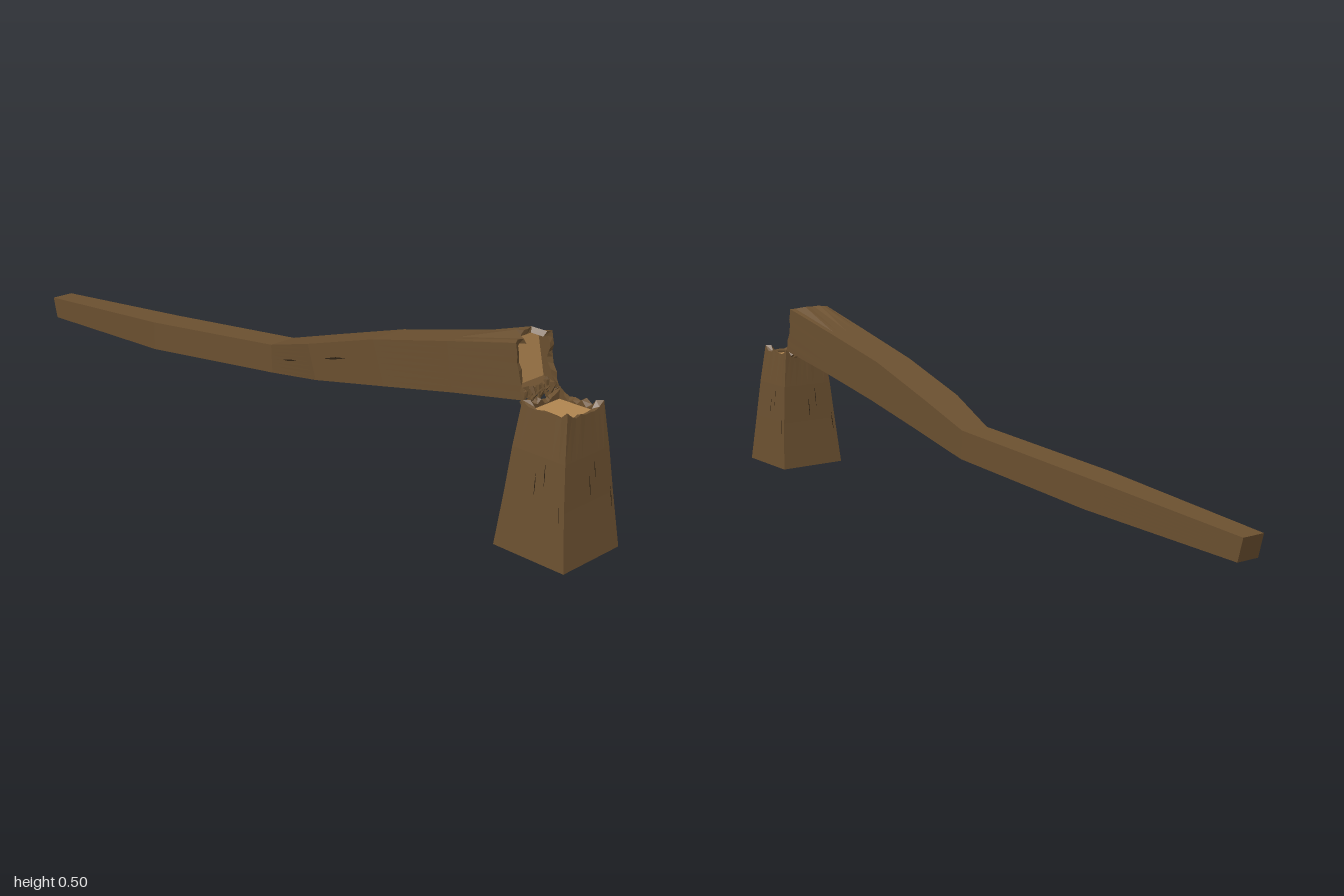
import * as THREE from 'three';

const bark = new THREE.MeshStandardMaterial({ color: 0x6b5030, flatShading: true, side: THREE.DoubleSide });
const wood = new THREE.MeshStandardMaterial({ color: 0xb08550, flatShading: true, side: THREE.DoubleSide });
const crackMat = new THREE.MeshStandardMaterial({ color: 0x2e2214, flatShading: true, side: THREE.DoubleSide });
const SIDE = 8; // points along each side of a square ring

let seed = 7;
const rand = () => (seed = (seed * 16807) % 2147483647) / 2147483647;
const V = (x, y, z) => new THREE.Vector3(x, y, z);

// Subdivided ring through four corners
function ring(corners) {
  const pts = [];
  corners.forEach((c, i) => {
    for (let k = 0; k < SIDE; k++) pts.push(c.clone().lerp(corners[(i + 1) % 4], k / SIDE));
  });
  return pts;
}

function shrink(pts, amount) {
  const centre = pts.reduce((s, p) => s.add(p), V(0, 0, 0)).divideScalar(pts.length);
  return pts.map(p => p.clone().lerp(centre, amount));
}

function meshFrom(points, material, name) {
  const g = new THREE.BufferGeometry().setFromPoints(points);
  g.computeVertexNormals();
  const m = new THREE.Mesh(g, material);
  m.name = name;
  return m;
}

// Skin between successive rings, with an optional flat cap on the first
function loft(rings, capped) {
  const out = [];
  const n = rings[0].length;
  for (let i = 0; i < rings.length - 1; i++) {
    for (let j = 0; j < n; j++) {
      const k = (j + 1) % n;
      const a = rings[i][j], b = rings[i][k], c = rings[i + 1][k], d = rings[i + 1][j];
      out.push(a, b, c, a, c, d);
    }
  }
  if (capped) out.push(...fan(rings[0], true));
  return out;
}

function fan(pts, flip) {
  const out = [];
  const centre = shrink(pts, 1)[0];
  pts.forEach((p, i) => {
    const q = pts[(i + 1) % pts.length];
    out.push(centre, flip ? q : p, flip ? p : q);
  });
  return out;
}

// Hollow bark shell ending in a torn rim, with pale wood inside
function brokenPiece(name, sections, axis, depth, tear) {
  const group = new THREE.Group();
  group.name = name;
  const rings = sections.map(ring);
  const end = rings[rings.length - 1];
  const floor = shrink(end, 0.2).map(p => p.addScaledVector(axis, -depth));
  const inner = shrink(end, 0.2);
  end.forEach((p, i) => {
    const t = tear(i);
    p.addScaledVector(axis, -t);
    inner[i].addScaledVector(axis, -Math.min(depth, t + rand() * 0.008));
  });
  group.add(meshFrom(loft([...rings, inner, floor], true), bark, name + 'Bark'));
  group.add(meshFrom(fan(floor, false), wood, name + 'Heartwood'));
  return group;
}

// Thin dark split lying on a face given by its four corners
function crack([a, b, c, d], u, v, length, width) {
  const at = (s, t) => a.clone().lerp(b, s).lerp(d.clone().lerp(c, s), t);
  const normal = b.clone().sub(a).cross(d.clone().sub(a)).normalize().multiplyScalar(0.0015);
  const p = [at(u, v), at(u + width, v + length * 0.4), at(u, v + length), at(u - width, v + length * 0.55)]
    .map(q => q.add(normal));
  return meshFrom([p[0], p[1], p[2], p[0], p[2], p[3]], crackMat, 'crack');
}

export function createModel() {
  const model = new THREE.Group();

  // Stump: half width, height, back z, front z
  const stumpSections = [
    [0.102, 0, 0.795, 1.0], [0.09, 0.14, 0.81, 0.982], [0.08, 0.25, 0.819, 0.97], [0.066, 0.366, 0.83, 0.957],
  ].map(([w, y, b, f]) => [V(-w, y, f), V(w, y, f), V(w, y, b), V(-w, y, b)]);
  const stump = brokenPiece('stump', stumpSections, V(0, 1, 0), 0.03, i =>
    i % SIDE === 0 ? rand() * 0.005 : 0.01 + rand() * 0.014);
  for (let side = 0; side < 4; side++) {
    const lo = stumpSections[0], hi = stumpSections[2], n = (side + 1) % 4;
    for (const [u, v] of [[0.48, 0.6], [0.62, 0.72], [0.9, 0.4]]) {
      stump.add(crack([lo[side], lo[n], hi[n], hi[side]], u + rand() * 0.04, v, 0.25, 0.008));
    }
  }
  model.add(stump);

  // Fallen trunk: left x, right x, bottom z and y, top z and y, from thin tip to broken end
  const trunkSections = [
    [-0.085, -0.02, -0.985, 0.11, -1.0, 0.17],
    [-0.081, 0.008, -0.5, 0.133, -0.5, 0.214],
    [-0.04, 0.042, -0.04, 0.178, -0.045, 0.256],
    [-0.07, 0.041, 0.16, 0.221, 0.13, 0.312],
    [-0.069, 0.042, 0.4, 0.272, 0.36, 0.384],
    [-0.067, 0.053, 0.62, 0.319, 0.6, 0.442],
    [-0.065, 0.064, 0.832, 0.36, 0.803, 0.49],
  ].map(([l, r, bz, by, tz, ty]) => [V(l, by, bz), V(r, by, bz), V(r, ty, tz), V(l, ty, tz)]);
  const axis = V(0, -0.23, 0.97).normalize();
  const trunk = brokenPiece('trunk', trunkSections, axis, 0.035, i => {
    if (i % SIDE === 0) return 0;
    const notch = i > 2 * SIDE + 1 && i < 3 * SIDE - 2;
    return notch ? 0.028 + rand() * 0.016 : rand() * 0.01;
  });
  for (const [s, side, u, v] of [
    [5, 2, 0.3, 0.55], [5, 2, 0.5, 0.4], [5, 2, 0.65, 0.6], [5, 0, 0.4, 0.5], [5, 0, 0.6, 0.55],
    [3, 3, 0.4, 0.2], [2, 3, 0.5, 0.3], [1, 0, 0.5, 0.3], [4, 0, 0.5, 0.3],
  ]) {
    const lo = trunkSections[s], hi = trunkSections[s + 1], n = (side + 1) % 4;
    trunk.add(crack([lo[side], lo[n], hi[n], hi[side]], u, v, 0.35, 0.03));
  }
  model.add(trunk);

  // Torn fibres joining the trunk to the back rim of the stump
  const splinters = new THREE.Group();
  splinters.name = 'splinters';
  for (let i = 0; i < 14; i++) {
    const length = 0.03 + rand() * 0.025;
    const s = new THREE.Mesh(new THREE.ConeGeometry(0.007, length, 4), bark);
    s.name = 'splinter';
    s.position.set(-0.054 + i * 0.0083, 0.355 + rand() * 0.01, 0.822 + rand() * 0.012);
    s.rotation.set((i % 2 ? 0.5 : 2.5) + rand() * 0.4, rand(), (rand() - 0.5) * 0.5);
    splinters.add(s);
  }
  model.add(splinters);
  return model;
}
